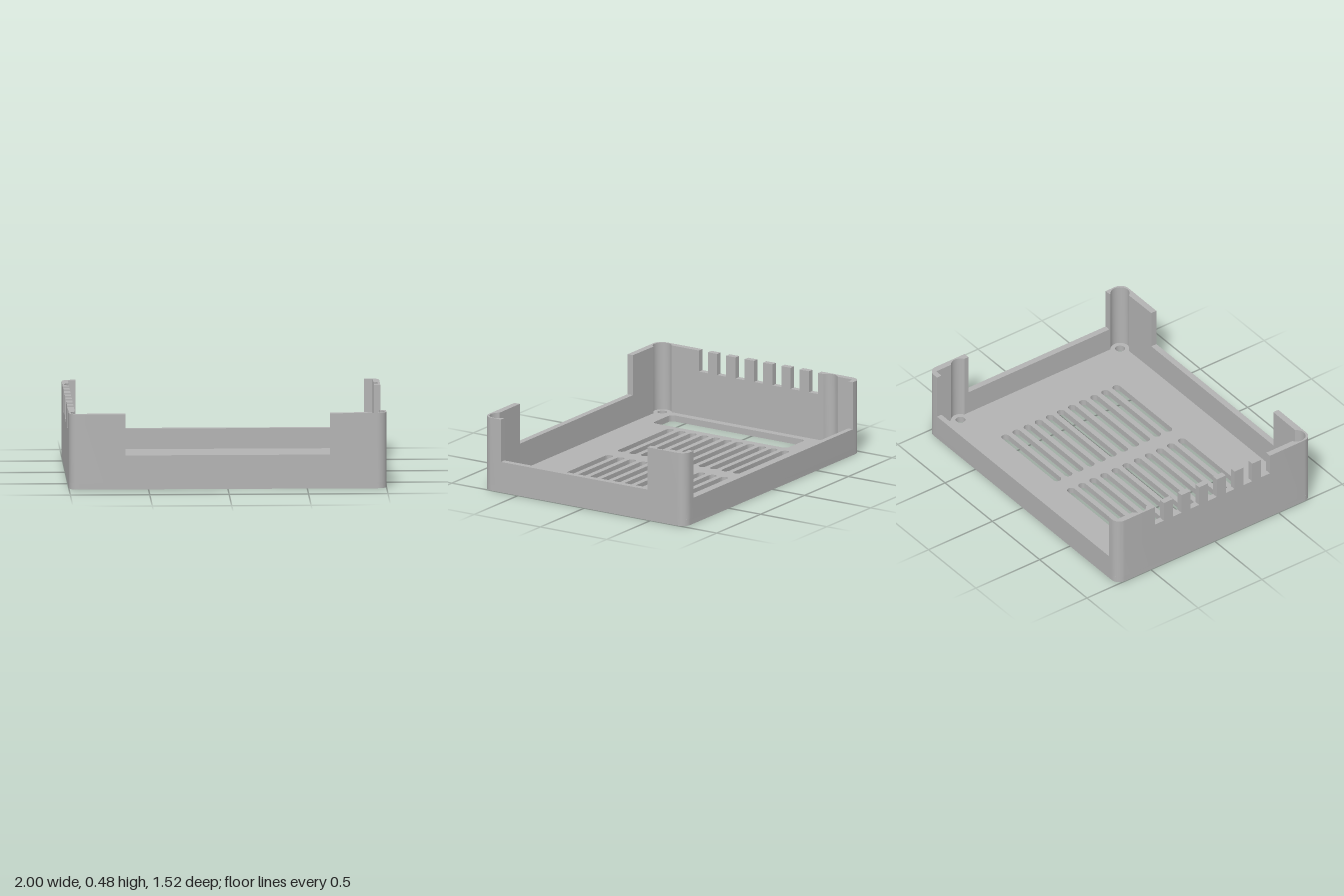
import * as THREE from 'three';
import { toCreasedNormals } from 'three/addons/utils/BufferGeometryUtils.js';

const W = 0.7625, H = 0.478, FLOOR = 0.04, T = 0.04, R = 0.06;
const FRONT_POST = 0.69, BACK_POST = 0.56, POST_X = 0.93;

export function createModel() {
  const group = new THREE.Group();
  group.name = 'enclosureTray';
  const grey = new THREE.MeshStandardMaterial({ color: 0xb3b3b3 });
  grey.name = 'grey plastic';

  const add = (name, geometry) => {
    const mesh = new THREE.Mesh(geometry, grey);
    mesh.name = name;
    group.add(mesh);
  };

  // Extrude a plan drawn in (x, -z) upward from y0 to y1
  const raise = (shape, y0, y1) => {
    const g = new THREE.ExtrudeGeometry(shape, { depth: y1 - y0, bevelEnabled: false, curveSegments: 10 });
    g.rotateX(-Math.PI / 2);
    g.translate(0, y0, 0);
    return toCreasedNormals(g, 0.6);
  };

  // Rounded rectangle between two corners, used for the outline and the openings
  const roundRect = (path, x0, x1, z0, z1, r) => {
    const a = -z1, b = -z0, q = Math.PI / 2;
    path.moveTo(x0 + r, a);
    path.absarc(x1 - r, a + r, r, -q, 0);
    path.absarc(x1 - r, b - r, r, 0, q);
    path.absarc(x0 + r, b - r, r, q, 2 * q);
    path.absarc(x0 + r, a + r, r, 2 * q, 3 * q);
    path.closePath();
    return path;
  };

  // Floor with vent slots, one large opening and four screw holes
  const floor = roundRect(new THREE.Shape(), -1, 1, -W, W, R);
  for (let i = 0; i < 11; i++) {
    const z = -0.44 + i * 0.087;
    for (const x of [-0.648, 0.046]) {
      floor.holes.push(roundRect(new THREE.Path(), x, x + 0.595, z - 0.026, z + 0.026, 0.0259));
    }
  }
  floor.holes.push(roundRect(new THREE.Path(), -0.91, -0.695, -0.405, 0.61, 0.03));
  for (const x of [-POST_X, POST_X]) {
    for (const z of [FRONT_POST, -BACK_POST]) {
      const hole = new THREE.Path();
      hole.absarc(x, -z, 0.031, 0, Math.PI * 2);
      floor.holes.push(hole);
    }
  }
  add('floor', raise(floor, 0, FLOOR));

  // Arc points in plan, angles in degrees
  const arc = (cx, cz, r, from, to, n) => Array.from({ length: n + 1 }, (_, i) => {
    const a = THREE.MathUtils.degToRad(from + (to - from) * i / n);
    return [cx + r * Math.cos(a), cz + r * Math.sin(a)];
  });

  // Tall L-shaped corner whose inside is hollowed around the screw axis
  const corner = (name, sx, sz, xEnd, zEnd) => {
    const front = sz > 0;
    const inner = W - (front ? T : 0.035);
    const recess = front
      ? arc(POST_X, FRONT_POST, R, -60, 150, 20)
      : [...arc(POST_X, BACK_POST, R, -60, 60, 12), [1 - T, inner]];
    const points = [
      [xEnd, W], ...arc(1 - R, W - R, R, 90, 0, 10),
      [1, zEnd], [1 - T, zEnd], ...recess, [xEnd, inner],
    ];
    const shape = new THREE.Shape(points.map(([x, z]) => new THREE.Vector2(sx * x, -sz * z)));
    add(name, raise(shape, FLOOR, H));
  };
  corner('frontLeftCorner', 1, 1, 0.644, 0.629);
  corner('frontRightCorner', -1, 1, 0.645, 0.433);
  corner('backLeftCorner', 1, -1, 0.905, 0.476);
  corner('backRightCorner', -1, -1, 0.91, 0.466);

  // Straight wall runs standing on the floor
  const wall = (name, x0, x1, z0, z1, y0, y1) => {
    const g = new THREE.BoxGeometry(x1 - x0, y1 - y0, z1 - z0);
    g.translate((x0 + x1) / 2, (y0 + y1) / 2, (z0 + z1) / 2);
    add(name, g);
  };
  wall('frontWall', -0.645, 0.644, W - T, W, FLOOR, 0.216);
  wall('backWall', -0.91, 0.905, -W, -W + 0.035, FLOOR, 0.17);
  wall('leftWall', 1 - T, 1, -0.476, 0.629, FLOOR, 0.2);
  wall('rightWall', -1, -1 + T, -0.466, 0.433, FLOOR, 0.34);

  // Teeth between the seven notches of the right wall
  for (let i = 0; i < 6; i++) {
    const z = 0.365 - i * 0.1385;
    wall('rightWallTooth', -1, -1 + T, z - 0.0705, z, 0.34, H);
  }
  return group;
}
